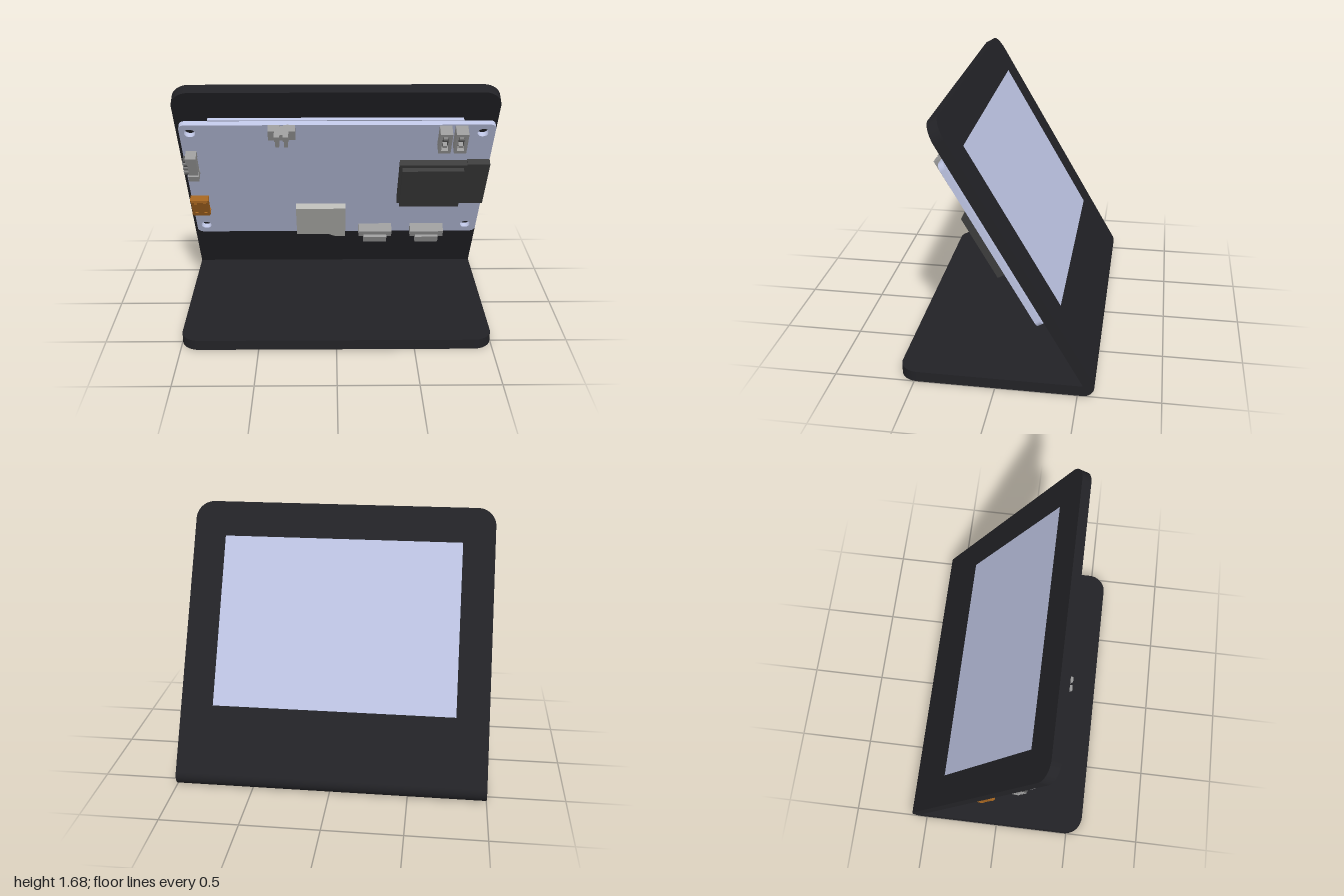
import * as THREE from 'three';

const T = 0.067; // stand thickness
const mat = (color) => new THREE.MeshStandardMaterial({ color });
const black = mat(0x222226), pale = mat(0xbcc3e2), grey = mat(0x999999);
const silver = mat(0xb8b8b4), dark = mat(0x3c3c3c), slot = mat(0x555555), amber = mat(0xa0621f);

function mesh(parent, name, geometry, material) {
  const m = new THREE.Mesh(geometry, material);
  m.name = name;
  parent.add(m);
  return m;
}

// Box given by its ranges in x, y and z
function box(parent, name, material, x0, x1, y0, y1, z0, z1) {
  const m = mesh(parent, name, new THREE.BoxGeometry(x1 - x0, y1 - y0, z1 - z0), material);
  m.position.set((x0 + x1) / 2, (y0 + y1) / 2, (z0 + z1) / 2);
  return m;
}

// Rectangle with separate radii for its bottom and top corners
function plateShape(x0, x1, y0, y1, rBottom, rTop) {
  const s = new THREE.Shape();
  s.moveTo(x0 + rBottom, y0);
  s.lineTo(x1 - rBottom, y0);
  if (rBottom) s.absarc(x1 - rBottom, y0 + rBottom, rBottom, -Math.PI / 2, 0);
  s.lineTo(x1, y1 - rTop);
  s.absarc(x1 - rTop, y1 - rTop, rTop, 0, Math.PI / 2);
  s.lineTo(x0 + rTop, y1);
  s.absarc(x0 + rTop, y1 - rTop, rTop, Math.PI / 2, Math.PI);
  s.lineTo(x0, y0 + rBottom);
  if (rBottom) s.absarc(x0 + rBottom, y0 + rBottom, rBottom, Math.PI, Math.PI * 1.5);
  return s;
}

function extrude(shape, z0, z1) {
  return new THREE.ExtrudeGeometry(shape, { depth: z1 - z0, bevelEnabled: false, curveSegments: 16 })
    .translate(0, 0, z0);
}

// Small upright connector with a recessed slot
function slottedConnector(parent, x0, x1) {
  const g = new THREE.Group();
  g.name = 'slottedConnector';
  parent.add(g);
  const s = plateShape(x0, x1, 1.407, 1.585, 0, 0.002);
  s.holes.push(new THREE.Path([
    new THREE.Vector2(x0 + 0.016, 1.43), new THREE.Vector2(x0 + 0.016, 1.56),
    new THREE.Vector2(x1 - 0.016, 1.56), new THREE.Vector2(x1 - 0.016, 1.43)]));
  mesh(g, 'connectorShell', extrude(s, 0.055, 0.13), grey);
  box(g, 'connectorFloor', slot, x0 + 0.016, x1 - 0.016, 1.43, 1.56, 0.055, 0.09);
  for (const y of [1.45, 1.52]) box(g, 'connectorContact', grey, x0 + 0.025, x1 - 0.025, y, y + 0.02, 0.09, 0.12);
}

// Low edge connector with a narrower mouth below
function edgeConnector(parent, x) {
  const g = new THREE.Group();
  g.name = 'edgeConnector';
  g.position.x = x;
  parent.add(g);
  box(g, 'connectorBody', grey, -0.115, 0.115, 0.49, 0.548, 0.055, 0.125);
  box(g, 'connectorMouth', grey, -0.08, 0.08, 0.453, 0.51, 0.055, 0.145);
  for (const s of [-1, 1]) box(g, 'connectorFoot', grey, s * 0.095 - 0.018, s * 0.095 + 0.018, 0.455, 0.49, 0.055, 0.085);
}

export function createModel() {
  const model = new THREE.Group();
  model.name = 'displayStand';
  const pivot = [0, T, -0.533];

  // Base with rounded front corners
  const base = mesh(model, 'base', extrude(plateShape(-1, 1, 0, 1.133, 0, 0.12), 0, T), black);
  base.rotation.x = Math.PI / 2;
  base.position.set(...pivot);

  // Rounded outer bend joining base and panel
  const bend = mesh(model, 'bend',
    new THREE.CylinderGeometry(T, T, 2, 32, 1, false, Math.PI * 5 / 6, Math.PI * 2 / 3), black);
  bend.rotation.z = Math.PI / 2;
  bend.position.set(...pivot);

  // Everything leaning: y runs up the slope, z away from the inner face
  const lean = new THREE.Group();
  lean.name = 'leaningPanel';
  lean.rotation.x = Math.PI / 6;
  lean.position.set(...pivot);
  model.add(lean);

  const panel = plateShape(-1, 1, 0, 1.822, 0, 0.12);
  panel.holes.push(new THREE.Path([
    new THREE.Vector2(-0.79, 0.443), new THREE.Vector2(-0.79, 1.585),
    new THREE.Vector2(0.79, 1.585), new THREE.Vector2(0.79, 0.443)]));
  mesh(lean, 'panel', extrude(panel, -T, 0), black);
  box(lean, 'screen', pale, -0.79, 0.79, 0.443, 1.585, -T, 0.02);
  box(lean, 'screenBacking', pale, -0.79, 0.785, 0.456, 1.6, 0.001, 0.022);

  // Circuit board with four mounting holes
  const board = plateShape(-0.97, 0.985, 0.456, 1.593, 0.04, 0.04);
  for (const x of [-0.905, 0.91]) for (const y of [0.537, 1.518]) {
    board.holes.push(new THREE.Path().absarc(x, y, 0.035, 0, Math.PI * 2, true));
  }
  mesh(lean, 'circuitBoard', extrude(board, 0.02, 0.055), pale);

  // Connectors along the top and bottom edges
  slottedConnector(lean, 0.635, 0.712);
  slottedConnector(lean, 0.733, 0.81);
  edgeConnector(lean, 0.275);
  edgeConnector(lean, 0.635);

  // Top pin connector
  const pin = new THREE.Group();
  pin.name = 'pinConnector';
  lean.add(pin);
  box(pin, 'pinBody', grey, -0.38, -0.29, 1.53, 1.585, 0.055, 0.125);
  for (const s of [-1, 1]) {
    const c = -0.335 + s * 0.064, p = -0.335 + s * 0.027;
    box(pin, 'pinWing', grey, c - 0.02, c + 0.02, 1.51, 1.593, 0.055, 0.105);
    box(pin, 'pinPost', grey, p - 0.017, p + 0.017, 1.555, 1.597, 0.055, 0.157);
    box(pin, 'pinTab', grey, p - 0.012, p + 0.012, 1.49, 1.54, 0.055, 0.145);
  }

  // Side switch
  const side = new THREE.Group();
  side.name = 'sideSwitch';
  lean.add(side);
  box(side, 'switchBody', grey, -0.945, -0.885, 1.165, 1.3, 0.055, 0.11);
  box(side, 'switchEnd', grey, -0.95, -0.882, 1.295, 1.348, 0.055, 0.125);
  box(side, 'switchEnd', grey, -0.95, -0.882, 1.125, 1.17, 0.055, 0.125);
  box(side, 'switchSlider', slot, -0.972, -0.945, 1.16, 1.3, 0.055, 0.1);
  for (let i = 0; i < 3; i++) box(side, 'switchRib', grey, -0.976, -0.945, 1.185 + i * 0.04, 1.205 + i * 0.04, 0.06, 0.105);

  // Amber side port
  const port = new THREE.Group();
  port.name = 'sidePort';
  lean.add(port);
  box(port, 'portShell', amber, -0.97, -0.858, 0.725, 0.875, 0.055, 0.11);
  for (const y of [0.74, 0.84]) for (const x of [-0.95, -0.89]) box(port, 'portClip', amber, x, x + 0.02, y, y + 0.025, 0.1, 0.117);
  for (const y of [0.722, 0.86]) box(port, 'portFlange', amber, -0.976, -0.853, y, y + 0.018, 0.055, 0.1);

  // Card holder with a stepped lower edge
  const card = new THREE.Shape([[-0.27, 0.785], [-0.27, 0.483], [-0.05, 0.483], [0, 0.456], [0.068, 0.456], [0.068, 0.785]]
    .map(([x, y]) => new THREE.Vector2(x, y)));
  mesh(lean, 'cardHolder', extrude(card, 0.055, 0.1), silver);

  // Dark radio module
  const radio = new THREE.Group();
  radio.name = 'radioModule';
  lean.add(radio);
  box(radio, 'modulePlate', dark, 0.41, 0.985, 0.846, 1.25, 0.055, 0.1);
  box(radio, 'moduleCover', dark, 0.425, 0.82, 0.848, 1.225, 0.1, 0.13);
  box(radio, 'moduleRim', dark, 0.84, 0.985, 1.245, 1.258, 0.055, 0.1);
  return model;
}
